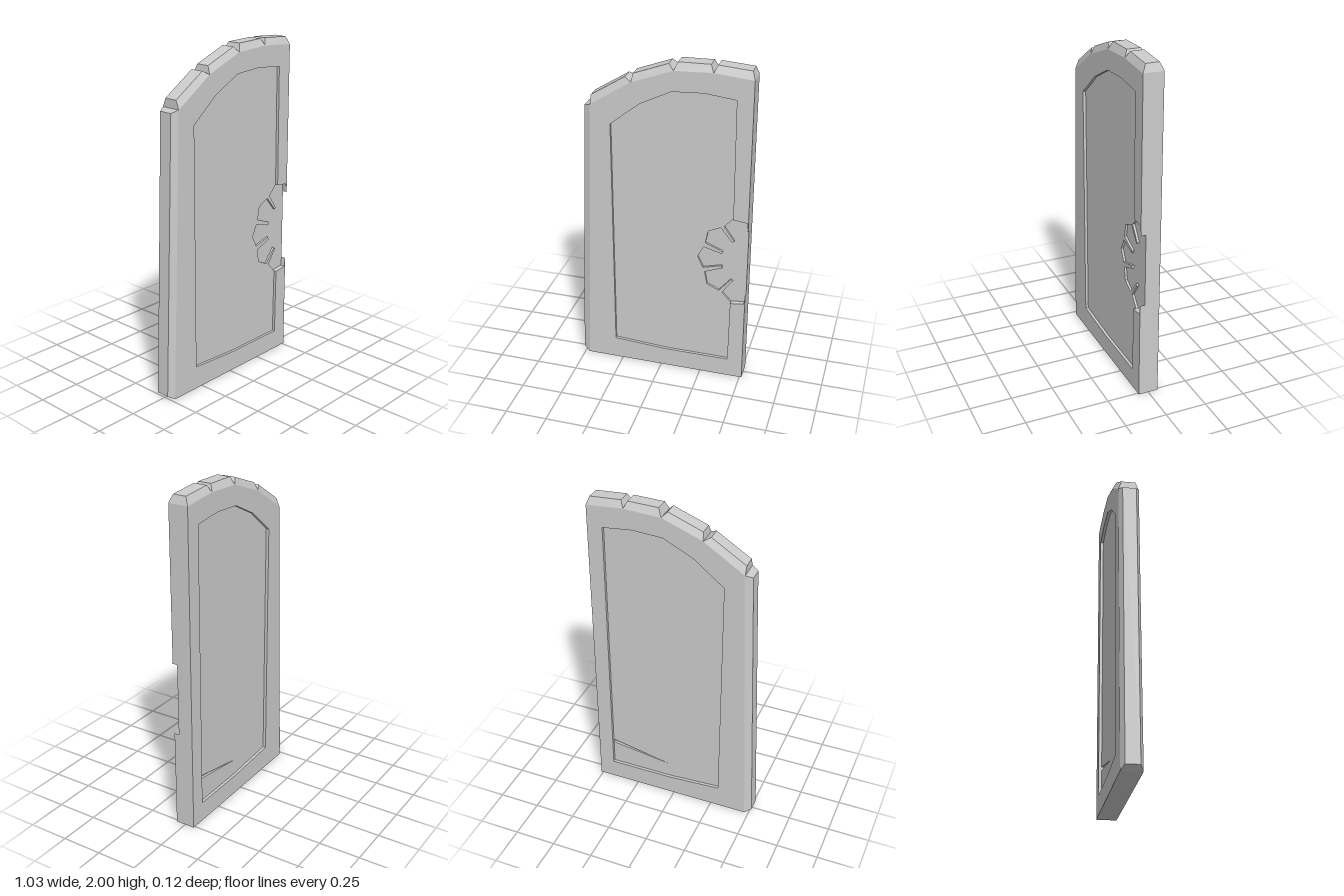
import * as THREE from 'three';

const material = new THREE.MeshStandardMaterial({ color: 0xcccccc, flatShading: true, side: THREE.DoubleSide });

const toShape = (pts) => new THREE.Shape(pts.map(([x, y]) => new THREE.Vector2(x, y)));

// Flat layer of the door between two depths
function layer(name, pts, z0, z1, holes = []) {
  const shape = toShape(pts);
  holes.forEach((h) => shape.holes.push(toShape(h)));
  const geo = new THREE.ExtrudeGeometry(shape, { depth: z1 - z0, bevelEnabled: false });
  geo.translate(0, 0, z0);
  const mesh = new THREE.Mesh(geo, material);
  mesh.name = name;
  return mesh;
}

// Chamfered edge block: wide base a-b on the door edge, narrower crest c-d
function edgeBlock(name, a, b, c, d) {
  const wide = 0.06, thin = 0.04;
  const ring = (z, t) => [[...a, z], [...b, z], [...d, t], [...c, t]];
  const geo = new THREE.BufferGeometry();
  geo.setAttribute('position', new THREE.Float32BufferAttribute([...ring(wide, thin), ...ring(-wide, -thin)].flat(), 3));
  const index = [0, 1, 2, 0, 2, 3, 4, 6, 5, 4, 7, 6];
  for (let i = 0; i < 4; i++) {
    const j = (i + 1) % 4;
    index.push(i, i + 4, j, j, i + 4, j + 4);
  }
  geo.setIndex(index);
  const flat = geo.toNonIndexed();
  flat.computeVertexNormals();
  const mesh = new THREE.Mesh(flat, material);
  mesh.name = name;
  return mesh;
}

export function createModel() {
  const door = new THREE.Group();
  door.name = 'door';
  const R = 0.513;

  // Curved top edge from left to right, then the whole slab outline
  const arch = [[-0.41, 1.705], [-0.17, 1.86], [0.07, 1.95], [0.29, 1.96], [R, 1.94]];
  const left = [[R, 0], [-0.475, 0]];

  // Sunken panel outline, arch first, from upper right round to lower right
  const panel = [[0.42, 1.82], [0.24, 1.84], [0.06, 1.83], [-0.12, 1.74], [-0.295, 1.6],
    [-0.295, 0.14], [0.04, 0.12], [0.42, 0.12]];

  // Half flower opening onto the right edge, mirrored about its middle
  const mid = 0.812;
  const upper = [[R, 1.03], [0.506, 1.085], [0.425, 1.095], [0.37, 1.035], [0.432, 0.947], [0.42, 0.938],
    [0.35, 1.025], [0.277, 0.99], [0.262, 0.91], [0.367, 0.868], [0.362, 0.852], [0.252, 0.882]];
  const mirrored = (pts) => pts.map(([x, y]) => [x, 2 * mid - y]).reverse();
  const flower = [...upper, [0.218, mid], ...mirrored(upper)];
  const mouth = upper.slice(0, 3);

  // Thin split low in the rear panel
  const split = [[0.418, 0.292], [0.418, 0.272], [0.04, 0.215]];

  door.add(
    layer('rearFrame', [...arch, ...left], -0.06, -0.042, [panel]),
    layer('rearPanel', [...arch, ...left], -0.042, -0.025, [split]),
    layer('core', [...arch, ...left], -0.025, 0.03),
    layer('frontPanel', [...arch, ...flower, ...left], 0.03, 0.043),
    layer('frontFrame', [...arch, ...mouth, ...panel, ...mirrored(mouth), ...left], 0.043, 0.06),
  );

  // Chamfered blocks along the arch, split by V notches
  const crests = [
    [[-0.41, 1.755], [-0.208, 1.882]],
    [[-0.163, 1.905], [0.04, 1.982]],
    [[0.09, 1.996], [0.272, 2.0]],
    [[0.31, 2.0], [0.497, 1.986]],
  ];
  crests.forEach(([c, d], i) => door.add(edgeBlock(`topBlock${i + 1}`, arch[i], arch[i + 1], c, d)));

  // Chamfered strip down the sloping side
  door.add(edgeBlock('sideStrip', [-0.475, 0], arch[0], [-0.515, 0.025], [-0.45, 1.69]));

  // Winding of the side strip and top blocks follows the arch direction
  return door;
}
